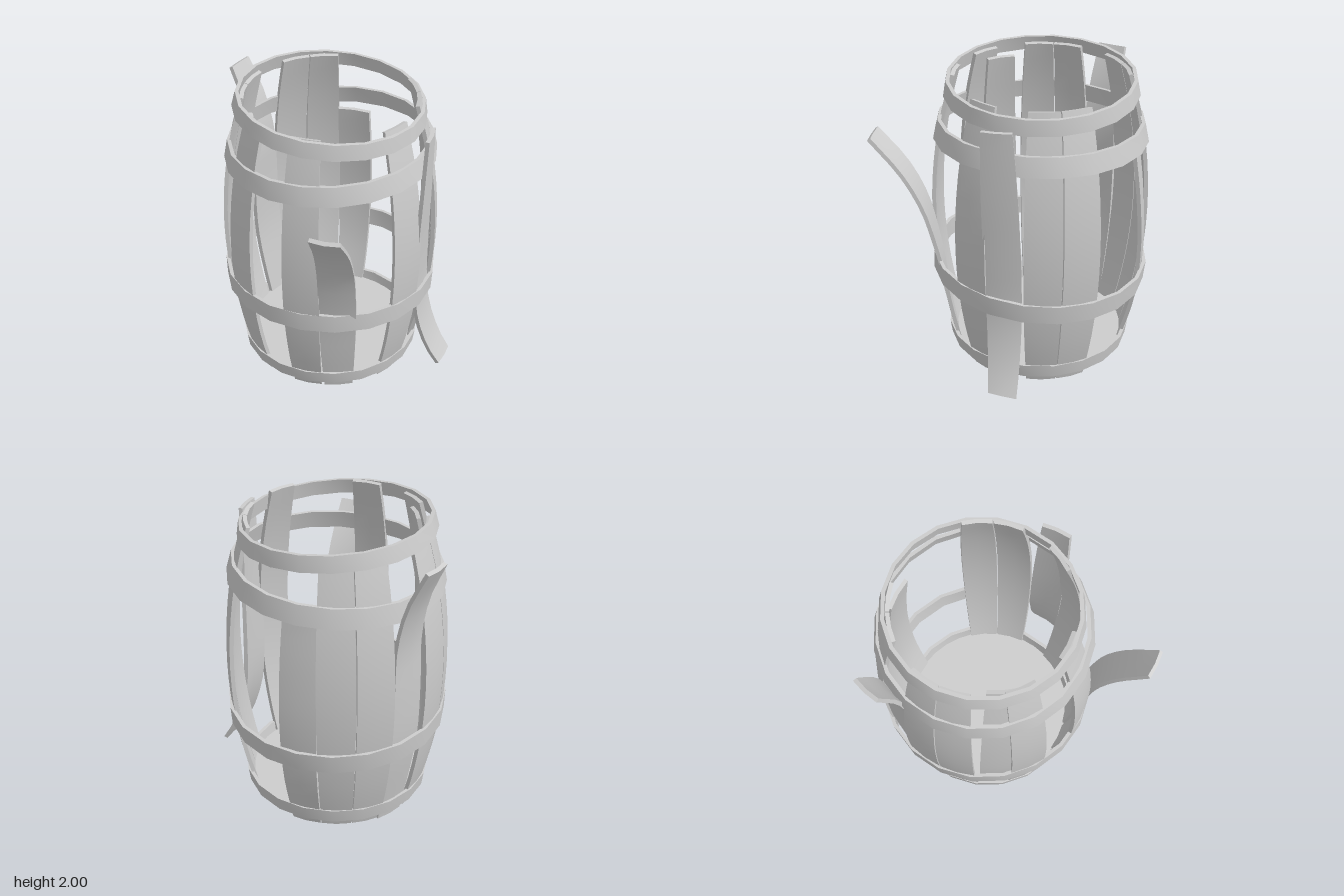
import * as THREE from 'three';
import { toCreasedNormals } from 'three/addons/utils/BufferGeometryUtils.js';

const CX = -0.047, CZ = -0.166; // barrel axis
const HEIGHT = 1.96, THICK = 0.026, STEP = Math.PI / 9;

// bulging outer radius of the barrel at height y
const bulge = (y) => 0.575 + 0.147 * (1 - (2 * y / HEIGHT - 1) ** 2);

// path of an intact stave as [radius, height] points
const regularPath = Array.from({ length: 9 }, (_, i) => [bulge(HEIGHT * i / 8), HEIGHT * i / 8]);

// curved plank swept along a path; shift moves it sideways, twist yaws its foot,
// length is how much of a full stave it is (sets the taper)
function staveGeometry(path, shift = [0, 0], twist = 0, length = HEIGHT) {
  const curve = new THREE.CatmullRomCurve3(path.map(([r, y]) => new THREE.Vector3(0, y, r)));
  const pos = [], idx = [], n = 16;
  const quad = (a, b, c, d) => idx.push(a, b, c, a, c, d);
  for (let i = 0; i <= n; i++) {
    const t = i / n, p = curve.getPointAt(t), tan = curve.getTangentAt(t);
    const R = bulge(t * length), yaw = twist * (1 - t);
    const side = THREE.MathUtils.lerp(shift[0], shift[1], t);
    for (const [j, depth] of [[-1, 0], [0, 0], [1, 0], [1, THICK], [0, THICK], [-1, THICK]]) {
      const a = j * STEP * 0.485;
      const lat = (R - depth) * Math.sin(a);
      const inward = R * (1 - Math.cos(a)) + depth;
      pos.push(side + lat * Math.cos(yaw),
        p.y + tan.z * inward,
        p.z - tan.y * inward - lat * Math.sin(yaw));
    }
  }
  for (let i = 0; i < n; i++) {
    for (let j = 0; j < 6; j++) {
      const a = i * 6 + j, b = i * 6 + (j + 1) % 6;
      quad(a, b, b + 6, a + 6);
    }
  }
  const e = n * 6;
  quad(e, e + 1, e + 4, e + 5);
  quad(e + 1, e + 2, e + 3, e + 4);
  quad(5, 4, 1, 0);
  quad(4, 3, 2, 1);
  const g = new THREE.BufferGeometry();
  g.setAttribute('position', new THREE.Float32BufferAttribute(pos, 3));
  g.setIndex(idx);
  return toCreasedNormals(g, 0.6);
}

// tapered band with a rectangular section
function hoopGeometry(rBottom, rTop, h) {
  const w = 0.024;
  const profile = [[rBottom, -h / 2], [rTop, h / 2], [rTop - w, h / 2], [rBottom - w, -h / 2], [rBottom, -h / 2]];
  return toCreasedNormals(new THREE.LatheGeometry(profile.map(([x, y]) => new THREE.Vector2(x, y)), 20), 0.6);
}

export function createModel() {
  const model = new THREE.Group();
  model.name = 'brokenBarrel';
  const grey = new THREE.MeshStandardMaterial({ color: 0xcccccc });
  grey.name = 'grey';

  const barrel = new THREE.Group();
  barrel.name = 'barrel';
  barrel.position.set(CX, 0, CZ);
  model.add(barrel);
  const add = (name, geometry, degrees = 0) => {
    const mesh = new THREE.Mesh(geometry, grey);
    mesh.name = name;
    mesh.rotation.y = THREE.MathUtils.degToRad(degrees);
    barrel.add(mesh);
    return mesh;
  };

  // intact staves; the missing numbers are holes in the wall
  const whole = staveGeometry(regularPath);
  for (const k of [-8, -7, -5, -4, -2, 0, 3, 5, 6]) add('stave', whole, k * 20);

  // stave with its top snapped off, sagging inward
  add('shortStave', staveGeometry(
    [[0.575, 0], [0.675, 0.4], [0.705, 0.8], [0.68, 1.2], [0.635, 1.52]], [0, 0], 0, 1.52), 180);

  // front stave peeling outward
  add('peeledFrontStave', staveGeometry(
    [[0.54, 0], [0.60, 0.3], [0.65, 0.65], [0.69, 0.85], [0.755, 1.1], [0.875, 1.34], [1.065, 1.575]],
    [0.208, 0.258], 0.35));

  // side stave sprung outside the upper hoops with its foot kicked out
  add('kickedSideStave', staveGeometry(
    [[0.868, 0.07], [0.795, 0.2], [0.725, 0.4], [0.69, 0.6], [0.685, 1], [0.695, 1.4], [0.705, 1.865]],
    [-0.11, -0.165], -0.17), 90);

  // rear stave with its top splayed out
  add('splayedRearStave', staveGeometry(
    [[0.56, 0], [0.66, 0.6], [0.675, 1], [0.675, 1.35], [0.73, 1.63], [0.845, 1.89]],
    [-0.155, -0.146], -0.22), -107);

  // stave leaning into the barrel
  add('leaningStave', staveGeometry(
    [[0.57, 0], [0.685, 0.6], [0.68, 1], [0.63, 1.45], [0.535, 1.9]],
    [0, 0.086]), -60);

  // hoops: bottom radius, top radius, height, centre y, tilt x, tilt z
  const hoops = [
    ['bottomHoop', 0.612, 0.626, 0.095, 0.097, 0, 0],
    ['lowerHoop', 0.719, 0.725, 0.13, 0.625, -0.056, 0],
    ['upperHoop', 0.697, 0.668, 0.125, 1.615, -0.005, 0.046],
    ['topHoop', 0.627, 0.607, 0.10, 1.91, 0, -0.066],
  ];
  for (const [name, r0, r1, h, y, tx, tz] of hoops) {
    const hoop = add(name, hoopGeometry(r0, r1, h));
    hoop.position.y = y;
    hoop.rotation.set(tx, 0, tz);
  }

  // round floor
  add('floor', new THREE.CylinderGeometry(0.58, 0.575, 0.03, 36)).position.y = 0.07;

  return model;
}
